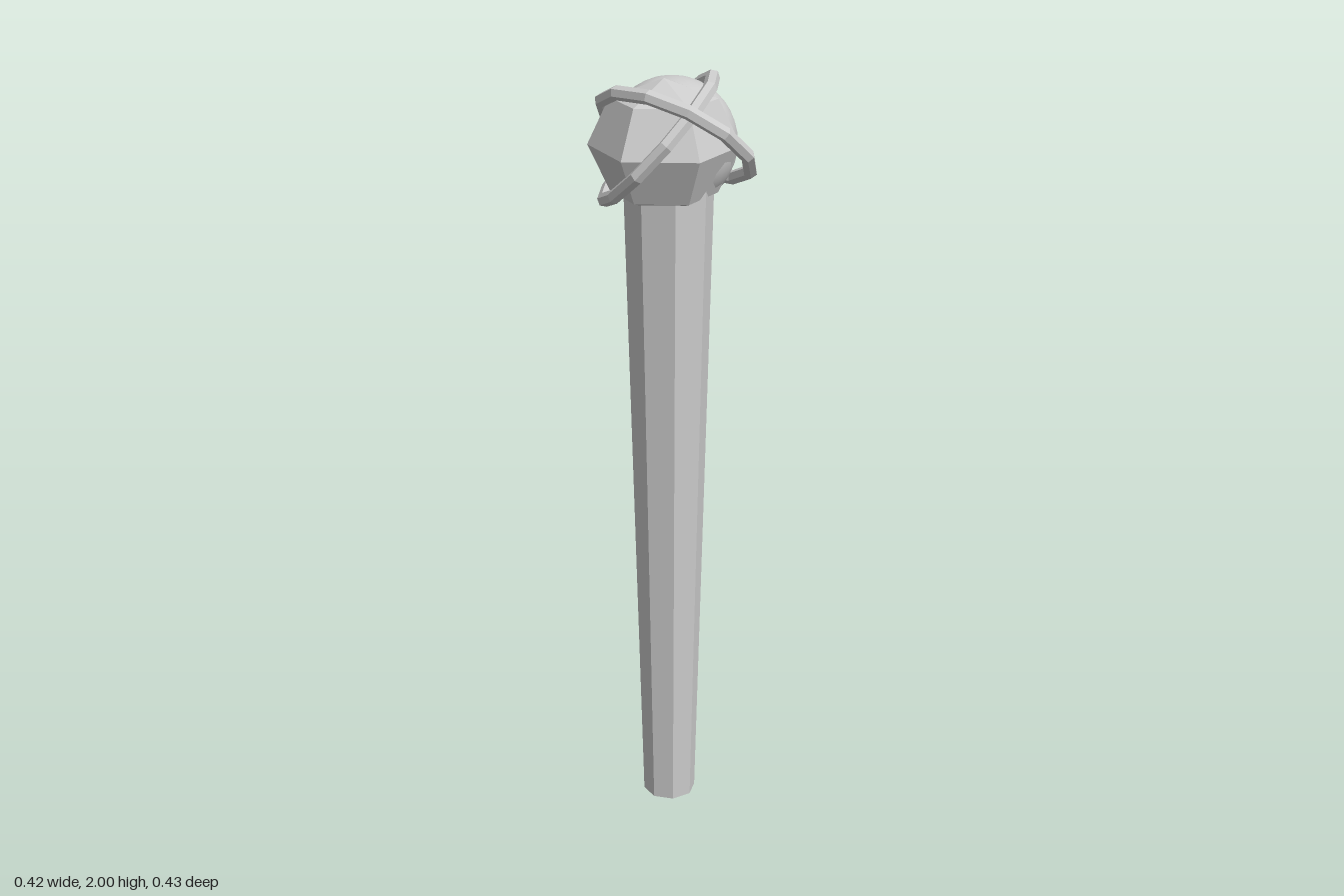
import * as THREE from 'three';

export function createModel() {
  const group = new THREE.Group();
  const flat = new THREE.MeshStandardMaterial({ color: 0xcccccc, flatShading: true });
  const smooth = new THREE.MeshStandardMaterial({ color: 0xcccccc });

  function add(name, geometry, material, x, y, z) {
    const mesh = new THREE.Mesh(geometry, material);
    mesh.name = name;
    mesh.position.set(x, y, z);
    group.add(mesh);
    return mesh;
  }

  // Tapered eight-sided shaft, standing on the ground
  const height = 1.8;
  const turn = THREE.MathUtils.degToRad(11);
  add('shaft', new THREE.CylinderGeometry(0.115, 0.07, height, 8, 1, false, turn), flat, -0.01, height / 2, 0.02);

  // Faceted stone at the front of the head
  const stone = new THREE.SphereGeometry(0.188, 6, 4);
  stone.scale(1, 0.88, 1);
  add('facetedStone', stone, flat, -0.022, 1.825, 0.02);

  // Smooth orb merging into the back of the stone
  add('smoothOrb', new THREE.SphereGeometry(0.163, 32, 20), smooth, -0.005, 1.82, -0.03);

  // Two tilted rings crossing around the head
  const rings = [
    { name: 'steepRing', centre: [-0.037, 1.835, -0.004], normal: [-0.74, 0.67, 0] },
    { name: 'shallowRing', centre: [0.008, 1.85, 0.027], normal: [0.5, 1, -0.7] },
  ];
  for (const { name, centre, normal } of rings) {
    const ring = add(name, new THREE.TorusGeometry(0.2, 0.018, 6, 12), flat, ...centre);
    const axis = new THREE.Vector3(...normal).normalize();
    ring.quaternion.setFromUnitVectors(new THREE.Vector3(0, 0, 1), axis);
  }

  return group;
}
